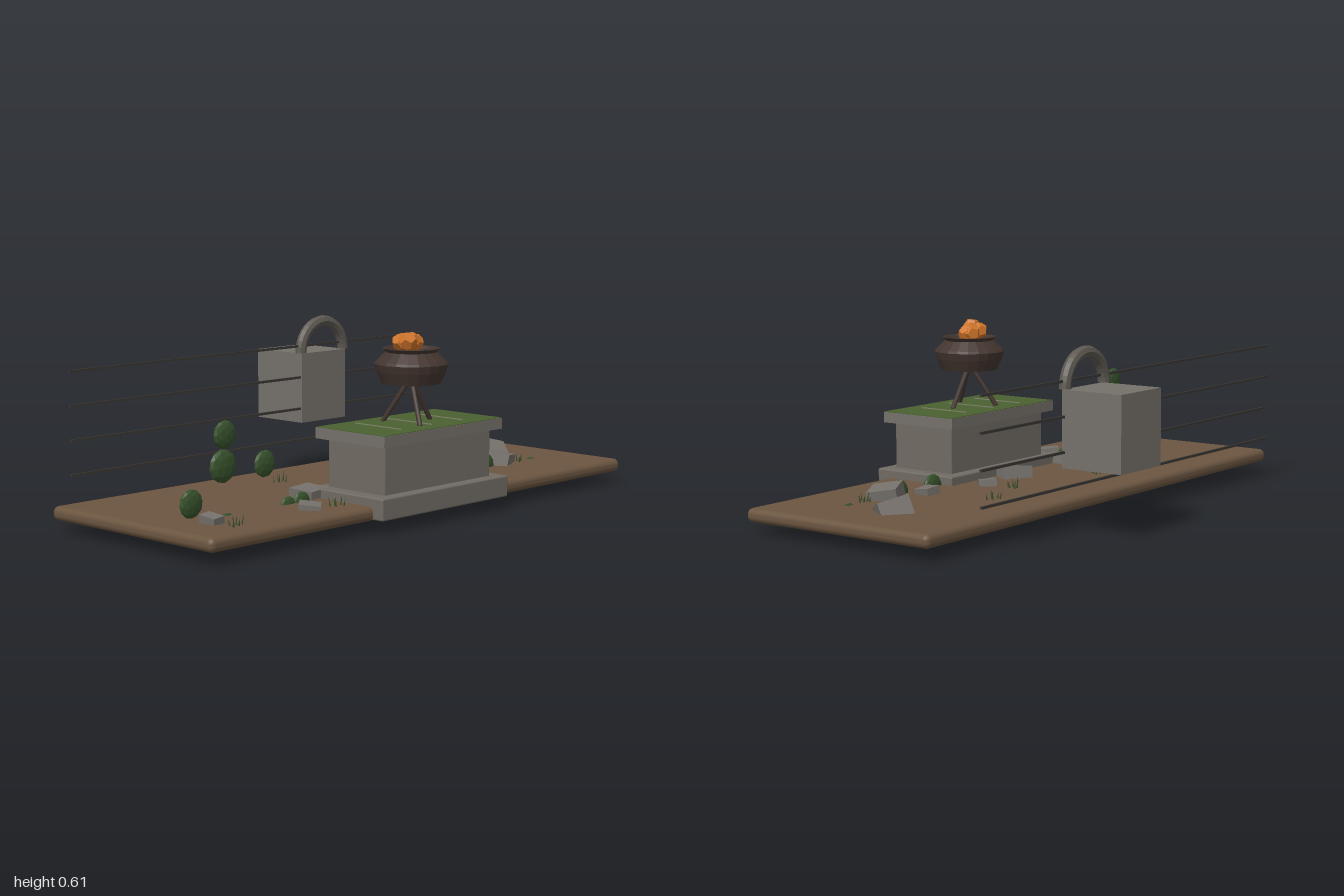
import * as THREE from 'three';
import { RoundedBoxGeometry } from 'three/addons/geometries/RoundedBoxGeometry.js';

const mat = (name, color) => {
  const m = new THREE.MeshStandardMaterial({ color });
  m.name = name;
  return m;
};

// Give every face its own normal for a faceted look
function faceted(geometry) {
  const g = geometry.index ? geometry.toNonIndexed() : geometry;
  g.computeVertexNormals();
  return g;
}

export function createModel() {
  const root = new THREE.Group();
  root.name = 'shrine';
  const earth = mat('earth brown', 0x6b5540);
  const stone = mat('stone grey', 0x706b63);
  const darkStone = mat('dark stone', 0x5d5851);
  const paleStone = mat('block grey', 0x75706a);
  const iron = mat('dark iron', 0x43352f);
  const wire = mat('wire', 0x3a3733);
  const cloth = mat('cloth green', 0x4a6030);
  const seam = mat('seam grey', 0x7d8068);
  const leaf = mat('leaf green', 0x37522c);
  const ember = mat('ember orange', 0xd0752a);

  const add = (name, geometry, material, x, y, z, parent = root) => {
    const m = new THREE.Mesh(geometry, material);
    m.name = name;
    m.position.set(x, y, z);
    parent.add(m);
    return m;
  };
  const group = (name) => {
    const g = new THREE.Group();
    g.name = name;
    root.add(g);
    return g;
  };

  // Ground slab
  add('ground', new RoundedBoxGeometry(2, 0.046, 0.745, 3, 0.02), earth, 0, 0.067, 0.13);

  // Altar: plinth, body, top slab and green cover with seams
  const altar = group('altar');
  add('plinth', new RoundedBoxGeometry(0.62, 0.072, 0.325, 2, 0.006), stone, 0, 0.084, 0.38, altar);
  add('altarBody', new RoundedBoxGeometry(0.52, 0.17, 0.246, 2, 0.006), stone, 0, 0.199, 0.381, altar);
  add('altarTop', new THREE.BoxGeometry(0.58, 0.036, 0.3), paleStone, 0, 0.296, 0.38, altar);
  add('altarCover', new THREE.BoxGeometry(0.575, 0.003, 0.295), cloth, 0, 0.3145, 0.38, altar);
  for (const x of [-0.15, 0, 0.15]) {
    add('coverSeam', new THREE.BoxGeometry(0.006, 0.003, 0.2), seam, x, 0.317, 0.376, altar);
  }

  // Brazier bowl, with its inner floor
  const brazier = group('brazier');
  brazier.position.set(0, 0, 0.382);
  const profile = [[0, 0.446], [0.098, 0.446], [0.115, 0.485], [0.122, 0.51], [0.116, 0.518],
    [0.084, 0.548], [0.094, 0.56], [0.084, 0.56], [0.075, 0.55], [0, 0.548]]
    .map(([r, y]) => new THREE.Vector2(r, y));
  add('bowl', faceted(new THREE.LatheGeometry(profile, 20)), iron, 0, 0, 0, brazier);

  // Tripod legs
  for (let i = 0; i < 3; i++) {
    const a = (i * Math.PI * 2) / 3;
    const foot = new THREE.Vector3(Math.cos(a) * 0.095, 0.315, Math.sin(a) * 0.095);
    const head = new THREE.Vector3(Math.cos(a) * 0.008, 0.452, Math.sin(a) * 0.008);
    const leg = add('leg', new THREE.CylinderGeometry(0.008, 0.008, foot.distanceTo(head), 8),
      iron, 0, 0, 0, brazier);
    leg.position.copy(foot).lerp(head, 0.5);
    leg.quaternion.setFromUnitVectors(new THREE.Vector3(0, 1, 0), head.sub(foot).normalize());
  }

  // Glowing coals
  [[0.03, 0.575, -0.03, 0.034], [-0.025, 0.58, -0.025, 0.03], [-0.042, 0.588, 0.022, 0.032],
    [0.0, 0.58, -0.005, 0.033], [0.038, 0.574, -0.018, 0.03]].forEach(([x, y, z, r], i) => {
    const c = add('coal', new THREE.DodecahedronGeometry(r, 0), ember, x, y, z, brazier);
    c.rotation.set(i, i * 1.7, i * 0.6);
  });

  // Rear block with arched handle
  add('rearBlock', new THREE.BoxGeometry(0.225, 0.25, 0.225), paleStone, 0.312, 0.345, -0.432);
  const arch = group('arch');
  arch.position.set(0.31, 0.472, -0.327);
  add('archRing', faceted(new THREE.TorusGeometry(0.108, 0.02, 8, 18, Math.PI)), darkStone, 0, 0, 0, arch);
  for (const s of [-1, 1]) {
    const cap = add('archEnd', new THREE.CircleGeometry(0.02, 8), darkStone, s * 0.108, 0, 0, arch);
    cap.rotation.x = Math.PI / 2;
  }

  // Fence wires
  for (const y of [0.158, 0.271, 0.384, 0.497]) {
    add('wire', new THREE.BoxGeometry(1.7, 0.008, 0.008), wire, 0, y, -0.327);
  }

  // Scattered stones: x, y, z, width, height, depth, turn, tilt x, tilt z
  const stones = group('stones');
  [[-0.315, 0.095, 0.225, 0.09, 0.05, 0.095, 0.08, 0.05, 0.06],
    [0.03, 0.1, 0.17, 0.105, 0.05, 0.1, -0.55, 0.2, 0.1],
    [0.22, 0.095, 0.135, 0.06, 0.03, 0.06, 0.75, 0.1, 0.1],
    [0.465, 0.095, 0.195, 0.06, 0.035, 0.06, -0.08, 0.1, -0.1],
    [0.612, 0.108, 0.25, 0.105, 0.045, 0.1, 0.45, 0.15, -0.12],
    [0.772, 0.09, 0.082, 0.105, 0.07, 0.095, -0.65, 0.35, -0.25],
    [-0.465, 0.09, 0.375, 0.07, 0.035, 0.07, 0.75, 0.1, 0.05],
    [-0.835, 0.09, 0.325, 0.045, 0.05, 0.065, 0.05, 0.1, 0.1],
    [0.715, 0.087, 0.172, 0.05, 0.014, 0.025, 0.6, 0.05, 0.1],
  ].forEach(([x, y, z, w, h, d, turn, tx, tz]) => {
    const s = add('stone', new THREE.BoxGeometry(w, h, d), paleStone, x, y, z, stones);
    s.rotation.set(tx, turn, tz, 'YXZ');
  });

  // Flat round leaves: x, y, radius
  const leaves = group('leaves');
  const leafShape = faceted(new THREE.IcosahedronGeometry(1, 1));
  [[-0.727, 0.342, 0.045], [-0.735, 0.245, 0.054], [-0.557, 0.232, 0.044], [-0.867, 0.145, 0.046],
    [-0.722, 0.052, 0.046], [-0.455, 0.08, 0.035], [-0.395, 0.085, 0.038], [0.35, 0.088, 0.045],
    [0.522, 0.096, 0.042], [0.635, 0.078, 0.036], [0.772, 0.051, 0.046],
  ].forEach(([x, y, r], i) => {
    const l = add('leaf', leafShape, leaf, x, y, 0.268, leaves);
    l.scale.set(r, r, r * 0.36);
    l.rotation.z = i * 0.7;
  });

  // Grass tufts
  const grass = group('grass');
  [[-0.19, -0.035], [0.41, -0.04], [0.21, 0.03], [-0.81, 0.405], [-0.365, 0.4], [0.7, 0.27]]
    .forEach(([x, z], t) => {
      for (let i = 0; i < 6; i++) {
        const a = i * 2.4 + t;
        const r = 0.012 + 0.004 * i;
        const h = 0.026 + 0.004 * ((i * 3 + t) % 4);
        const b = add('grassBlade', new THREE.ConeGeometry(0.004, h, 4), leaf,
          x + Math.cos(a) * r, 0.086 + h / 2, z + Math.sin(a) * r * 0.7, grass);
        b.rotation.set(Math.sin(a) * 0.2, 0, -Math.cos(a) * 0.2);
      }
    });

  return root;
}
